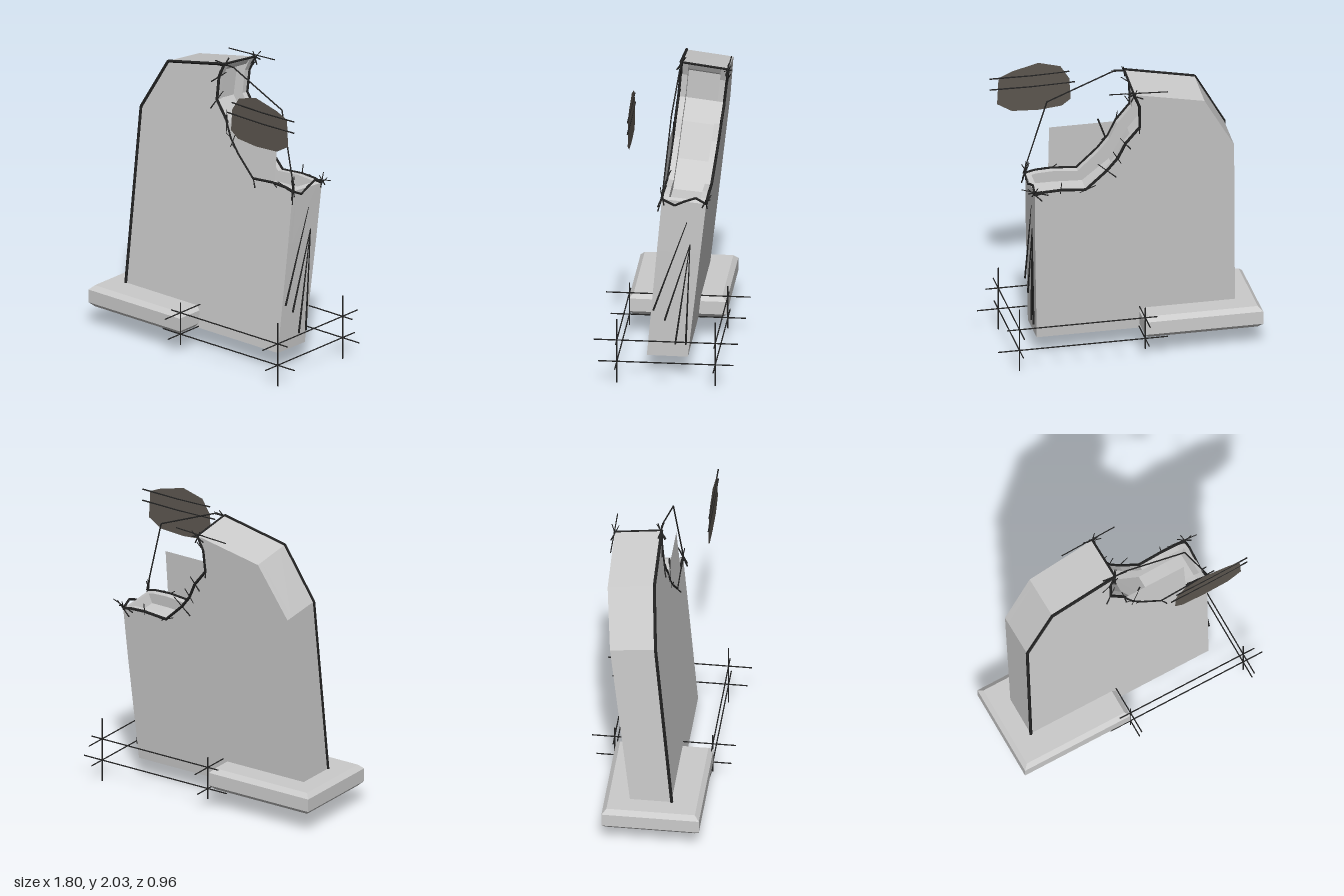
import * as THREE from 'three';

const grey = new THREE.MeshStandardMaterial({ color: 0xcccccc, flatShading: true, side: THREE.DoubleSide });
const ink = new THREE.MeshStandardMaterial({ color: 0x222222, flatShading: true });
const stone = new THREE.MeshStandardMaterial({ color: 0x5c564f, flatShading: true, side: THREE.DoubleSide });

// Leaning slab space: x, y and depth d (0 = front face, 1 = back face)
const lean = (x, y, d) =>
  new THREE.Vector3(x, y - d * 0.02 * y, 0.154 - 0.092 * y - d * (0.27 + 0.02 * y));

let seed = 7;
const rand = () => {
  seed = (seed * 16807) % 2147483647;
  return seed / 2147483647;
};

// Straight pen stroke between two points
function stroke(a, b, r0, r1 = r0) {
  const dir = b.clone().sub(a);
  const geo = new THREE.CylinderGeometry(r1, r0, dir.length(), 5);
  const mesh = new THREE.Mesh(geo, ink);
  mesh.position.copy(a).add(b).multiplyScalar(0.5);
  mesh.quaternion.setFromUnitVectors(new THREE.Vector3(0, 1, 0), dir.normalize());
  return mesh;
}

function polyline(name, points, r) {
  const g = new THREE.Group();
  g.name = name;
  for (let i = 0; i + 1 < points.length; i++) g.add(stroke(points[i], points[i + 1], r));
  return g;
}

const toShape = (pts) => new THREE.Shape(pts.map(([x, y]) => new THREE.Vector2(x, y)));

// One layer of the slab, sheared into its lean
function layer(name, outline, d0, d1) {
  const geo = new THREE.ExtrudeGeometry(toShape(outline), { depth: 1, bevelEnabled: false });
  const p = geo.attributes.position;
  for (let i = 0; i < p.count; i++) {
    const v = lean(p.getX(i), p.getY(i), d1 + (d0 - d1) * p.getZ(i));
    p.setXYZ(i, v.x, v.y, v.z);
  }
  geo.computeVertexNormals();
  const mesh = new THREE.Mesh(geo, grey);
  mesh.name = name;
  return mesh;
}

export function createModel() {
  const model = new THREE.Group();
  const add = (o) => model.add(o);

  // Slab: thin front and back skins around a core whose break is set deeper
  const side = [[-0.75, 0.14], [-0.71, 1.52], [-0.5, 1.89], [-0.02, 1.99]];
  const bite = [[-0.02, 1.99], [-0.06, 1.89], [-0.065, 1.73], [0.03, 1.61], [0.08, 1.5],
    [0.15, 1.41], [0.29, 1.275], [0.46, 1.29], [0.57, 1.285], [0.635, 1.27]];
  const innerBite = [[-0.02, 1.99], [-0.05, 1.94], [-0.13, 1.9], [-0.14, 1.7], [-0.04, 1.57],
    [0.08, 1.35], [0.26, 1.2], [0.46, 1.21], [0.58, 1.21], [0.605, 1.28], [0.635, 1.27]];
  const foot = [[0.625, 0.9], [0.595, 0.14]];
  const outline = (b) => [...side, ...b.slice(1), ...foot];
  add(layer('frontSkin', outline(bite), 0, 0.15));
  add(layer('slabCore', outline(innerBite), 0.15, 0.85));
  add(layer('backSkin', outline(bite), 0.85, 1));

  // Thin inscription panel on the front
  const panelGeo = new THREE.PlaneGeometry(1.09, 1.19);
  const pp = panelGeo.attributes.position;
  for (let i = 0; i < pp.count; i++) {
    const v = lean(pp.getX(i) - 0.065, pp.getY(i) + 1.005, -0.012);
    pp.setXYZ(i, v.x, v.y, v.z);
  }
  panelGeo.computeVertexNormals();
  const panel = new THREE.Mesh(panelGeo, grey);
  panel.name = 'frontPanel';
  add(panel);

  // Surviving half of the plinth, with chamfered edges
  const c = 0.03;
  const plinthGeo = new THREE.ExtrudeGeometry(
    toShape([[-0.87, -0.3], [-0.13, -0.3], [-0.13, 0.29], [-0.87, 0.29]]),
    { depth: 0.15 - 2 * c, bevelThickness: c, bevelSize: c, bevelSegments: 1 });
  plinthGeo.rotateX(-Math.PI / 2);
  plinthGeo.translate(0, 0.14 + c, 0);
  const plinth = new THREE.Mesh(plinthGeo, grey);
  plinth.name = 'plinth';
  add(plinth);

  // Heavy ink outlines along the front edge and both rims of the break
  add(polyline('edgeOutline', side.map(([x, y]) => lean(x, y, -0.01)), 0.011));
  for (const d of [0, 1]) {
    add(polyline(d ? 'backBreakOutline' : 'frontBreakOutline', bite.map(([x, y]) => lean(x, y, d)), 0.01));
  }
  const across = (x, y, wob) => [0, 0.3, 0.5, 0.75, 1].map((d, i) => lean(x, y + wob * [0, -1, 0, 1, 0][i], d));
  add(polyline('topBreakOutline', across(-0.02, 1.99, 0), 0.008));
  add(polyline('sideBreakOutline', across(0.635, 1.27, 0.035), 0.008));

  // Short scratchy ticks around the break
  const ticks = new THREE.Group();
  ticks.name = 'breakTicks';
  const tick = (x, y, d, spread) => {
    const a = rand() * Math.PI;
    const l = 0.04 + 0.05 * rand();
    const dx = Math.cos(a) * l, dy = Math.sin(a) * l;
    const dd = (rand() - 0.5) * spread;
    ticks.add(stroke(lean(x - dx, y - dy, d - dd), lean(x + dx, y + dy, d + dd), 0.005, 0.003));
  };
  for (const d of [0, 1]) {
    for (const [x, y] of bite) tick(x, y, d, 0.15);
    for (let i = 0; i < 3; i++) {
      tick(-0.02, 1.98, d, 0.2);
      tick(0.635, 1.29, d, 0.2);
    }
  }
  ticks.add(stroke(lean(-0.25, 1.99, 1), lean(0.15, 2.01, 1), 0.004));
  ticks.add(stroke(lean(0.08, 1.44, 0), lean(0.15, 1.63, 0), 0.006));
  add(ticks);

  // Fine line sketching the missing corner
  add(polyline('missingCornerLine',
    [[-0.02, 1.99], [0.06, 1.985], [0.5, 1.8], [0.65, 1.27]].map(([x, y]) => lean(x, y, 0)), 0.005));

  // Floating broken piece with two strokes across it
  const piece = new THREE.Mesh(new THREE.ShapeGeometry(toShape([[0.28, 1.68], [0.29, 1.83], [0.35, 1.925],
    [0.5, 1.965], [0.68, 1.92], [0.77, 1.88], [0.78, 1.69], [0.68, 1.63], [0.5, 1.62], [0.34, 1.635]])), stone);
  piece.position.z = 0.25;
  piece.name = 'floatingFragment';
  add(piece);
  const V = (x, y, z) => new THREE.Vector3(x, y, z);
  for (const [x, y] of [[0.25, 1.8], [0.29, 1.88]]) {
    const mark = polyline('fragmentStroke', [V(x, y, 0.252), V(0.55, y - 0.005, 0.25), V(0.83, y, 0.247)], 0.005);
    add(mark);
  }

  // Construction lines for the missing half of the plinth
  const frame = new THREE.Group();
  frame.name = 'plinthConstructionLines';
  const line = (a, b) => frame.add(stroke(a, b, 0.0045));
  for (const z of [-0.33, 0.325]) {
    line(V(-0.25, 0.15, z), V(0.9, 0.15, z));
    line(V(-0.18, 0.302, z), V(0.84, 0.302, z));
    line(V(-0.098, 0.075, z), V(-0.098, 0.375, z));
    line(V(0.755, 0, z), V(0.755, 0.45, z));
  }
  for (const x of [-0.098, 0.755]) {
    line(V(x, 0.15, -0.45), V(x, 0.15, 0.45));
    line(V(x, 0.302, -0.48), V(x, 0.302, 0.48));
  }
  add(frame);

  // Zigzag shading strokes on the left side face
  const shade = new THREE.Group();
  shade.name = 'sideShading';
  const zy = [[0.095, 0.47, -0.13, 1.11], [0.02, 0.4, -0.15, 0.95], [-0.05, 0.23, -0.15, 0.95], [-0.12, 0.23, -0.15, 0.95]];
  for (const [z0, y0, z1, y1] of zy) {
    const sx = (y) => 0.592 + 0.038 * Math.min(1, y / 0.9);
    shade.add(stroke(V(sx(y0) + 0.012, y0, z0), V(sx(y1), y1, z1), 0.007, 0.003));
  }
  add(shade);

  return model;
}
